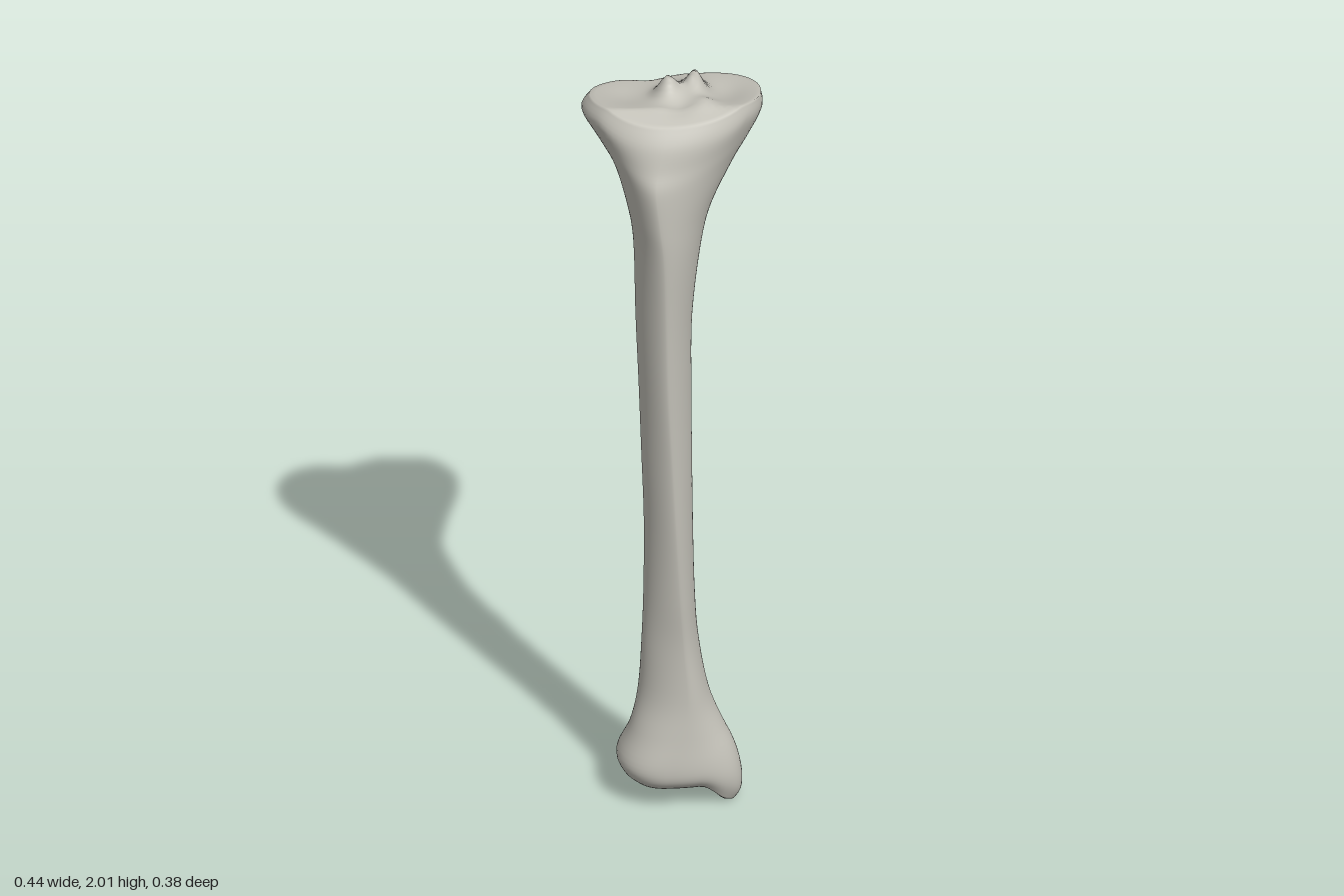
import * as THREE from 'three';

// Cross-sections, bottom to top. Each row:
// y, xMin, z at xMin, x at front, zFront, xMax, z at xMax, x at back, zBack, front and back exponent
const LOWER = [
  [0.055, -0.10, -0.05, -0.02, 0.04, 0.148, -0.03, -0.045, -0.15, 0.9, 0.95],
  [0.08, -0.125, -0.05, -0.02, 0.06, 0.165, -0.03, -0.045, -0.17, 0.9, 1.05],
  [0.12, -0.135, -0.05, -0.02, 0.066, 0.16, -0.03, -0.04, -0.16, 0.9, 1.05],
  [0.20, -0.105, -0.03, 0.01, 0.06, 0.122, -0.03, -0.02, -0.125, 0.95, 1],
  [0.30, -0.085, -0.03, 0.03, 0.055, 0.085, -0.03, 0, -0.10, 1, 1],
];
const MIDDLE = [
  [0.45, -0.077, -0.01, 0.02, 0.06, 0.06, -0.02, 0, -0.08, 1.05, 1],
  [0.60, -0.073, 0, 0.01, 0.08, 0.05, 0, 0, -0.055, 1.1, 1],
  [0.80, -0.073, 0.02, 0, 0.105, 0.045, 0.02, 0, -0.033, 1.2, 1],
  [1.00, -0.08, 0.04, -0.01, 0.125, 0.042, 0.04, -0.01, -0.018, 1.25, 1],
  [1.20, -0.087, 0.05, -0.02, 0.145, 0.04, 0.05, -0.02, -0.017, 1.25, 1],
  [1.40, -0.095, 0.06, -0.025, 0.163, 0.042, 0.06, -0.03, -0.023, 1.25, 1],
];
const UPPER = [
  [1.60, -0.10, 0.06, -0.03, 0.183, 0.065, 0.05, -0.02, -0.04, 1.2, 1],
  [1.70, -0.115, 0.05, -0.04, 0.19, 0.092, 0.03, -0.01, -0.057, 1.2, 1],
  [1.80, -0.145, 0.02, -0.05, 0.19, 0.145, 0, 0, -0.10, 1.2, 1],
  [1.86, -0.185, -0.03, -0.045, 0.175, 0.185, -0.03, 0.05, -0.16, 1.1, 1],
  [1.92, -0.22, -0.055, -0.03, 0.16, 0.215, -0.05, 0.08, -0.19, 1, 0.95],
  [1.96, -0.20, -0.05, -0.02, 0.135, 0.212, -0.05, 0.09, -0.185, 0.95, 0.9],
];
const ROWS = [...LOWER, ...MIDDLE, ...UPPER];
const SIDES = 72, STEPS = 5, CAP = 16;

const smooth = THREE.MathUtils.smoothstep;
const bump = (x, z, cx, cz, wx, wz) => Math.exp(-(((x - cx) / wx) ** 2) - ((z - cz) / wz) ** 2);

// Catmull-Rom blend of whole section rows
function sectionAt(t) {
  const i = Math.min(Math.floor(t), ROWS.length - 2), f = t - i;
  const row = (k) => ROWS[THREE.MathUtils.clamp(k, 0, ROWS.length - 1)];
  const [a, b, c, d] = [row(i - 1), row(i), row(i + 1), row(i + 2)];
  return b.map((p, k) => p + 0.5 * f * (c[k] - a[k]
    + f * (2 * a[k] - 5 * p + 4 * c[k] - d[k] + f * (3 * (p - c[k]) + d[k] - a[k]))));
}

// Backward tilt of the knee surface, dropping off at the front
const tilt = (z) => 0.22 * Math.min(z, 0.07) - 0.3 * Math.max(0, z - 0.07);
// Inner ankle projection
const ankle = (x, z) => -0.062 * smooth(x, 0.06, 0.125) * Math.exp(-(((z + 0.02) / 0.06) ** 2));

// Four joined superellipse quarters through the extreme points
function outline(s) {
  const [y, x0, z0, xf, zf, x1, z1, xb, zb, nf, nb] = s;
  const top = smooth(y, 1.76, 1.94), low = 1 - smooth(y, 0.05, 0.17);
  const ring = [];
  for (let j = 0; j < SIDES; j++) {
    const a = (j / SIDES) * Math.PI * 2, c = Math.cos(a), d = Math.sin(a);
    const n = d >= 0 ? nf : nb;
    const mx = d >= 0 ? xf : xb, mz = c >= 0 ? z1 : z0;
    const x = mx + ((c >= 0 ? x1 : x0) - mx) * Math.abs(c) ** n;
    let z = mz + ((d >= 0 ? zf : zb) - mz) * Math.abs(d) ** n;
    // notch between the two rear knuckles
    if (d < 0) z += 0.035 * top * Math.exp(-(((x + 0.05) / 0.05) ** 2)) * smooth(-d, 0.1, 0.6);
    // groove where the neighbouring bone rests
    if (d < 0) z += 0.012 * low * Math.exp(-(((x - 0.05) / 0.03) ** 2));
    ring.push(new THREE.Vector3(x, y + top * tilt(z) + low * ankle(x, z), z));
  }
  return ring;
}

// Rings shrinking from a rim to its centre, with height from a rule
function capRings(rim, cx, cz, height) {
  const rings = [];
  for (let k = 1; k <= CAP; k++) {
    const s = 1 - k / CAP;
    rings.push(rim.map((p) => {
      const x = cx + (p.x - cx) * s, z = cz + (p.z - cz) * s;
      return new THREE.Vector3(x, height(x, z, 1 - s ** 4), z);
    }));
  }
  return rings;
}

// Knee surface: two shallow dishes and a pair of central peaks
const kneeHeight = (x, z, w) => 1.96 + tilt(z) + w * (
  0.042 * bump(x, z, -0.015, -0.03, 0.025, 0.04)
  + 0.045 * bump(x, z, 0.055, -0.065, 0.022, 0.045)
  + 0.018 * bump(x, z, 0.02, -0.04, 0.05, 0.08)
  + 0.012 * bump(x, z, 0.075, 0.04, 0.03, 0.03)
  - 0.014 * bump(x, z, 0.135, -0.05, 0.05, 0.09)
  - 0.010 * bump(x, z, -0.11, -0.03, 0.06, 0.08)
  - 0.012 * bump(x, z, 0.01, 0.06, 0.035, 0.04));

// Ankle surface: shallow vault beside the projection
const ankleHeight = (x, z, w) => 0.055 + ankle(x, z) + 0.022 * w * bump(x, z, 0, -0.05, 0.09, 0.08);

export function createModel() {
  const group = new THREE.Group();
  group.name = 'shinBone';
  const bone = new THREE.MeshStandardMaterial({ color: 0xc6c4bb });
  bone.name = 'bone';

  const walls = [];
  const last = (ROWS.length - 1) * STEPS;
  for (let i = 0; i <= last; i++) walls.push(outline(sectionAt(i / STEPS)));
  const bottom = capRings(walls[0], 0.01, -0.05, ankleHeight).reverse();
  const top = capRings(walls[last], 0.01, -0.03, kneeHeight);
  const rings = [...bottom, ...walls, ...top];

  // One smooth skin, shared by the three named parts
  const quads = (from, to) => {
    const index = [];
    for (let i = from; i < to; i++) {
      for (let j = 0; j < SIDES; j++) {
        const a = i * SIDES + j, b = i * SIDES + ((j + 1) % SIDES);
        const c = a + SIDES, d = b + SIDES;
        if (i > 0) index.push(a, c, b);
        if (i < rings.length - 2) index.push(b, c, d);
        else index.push();
      }
    }
    return index;
  };
  const skin = new THREE.BufferGeometry().setFromPoints(rings.flat());
  skin.setIndex(quads(0, rings.length - 1));
  skin.computeVertexNormals();

  const lowEnd = CAP + LOWER.length * STEPS;
  const highEnd = CAP + (LOWER.length + MIDDLE.length) * STEPS;
  const parts = [['ankleEnd', 0, lowEnd], ['shaft', lowEnd, highEnd], ['kneeEnd', highEnd, rings.length - 1]];
  for (const [name, from, to] of parts) {
    const geometry = new THREE.BufferGeometry();
    geometry.setAttribute('position', skin.getAttribute('position'));
    geometry.setAttribute('normal', skin.getAttribute('normal'));
    geometry.setIndex(quads(from, to));
    const mesh = new THREE.Mesh(geometry, bone);
    mesh.name = name;
    group.add(mesh);
  }
  return group;
}
